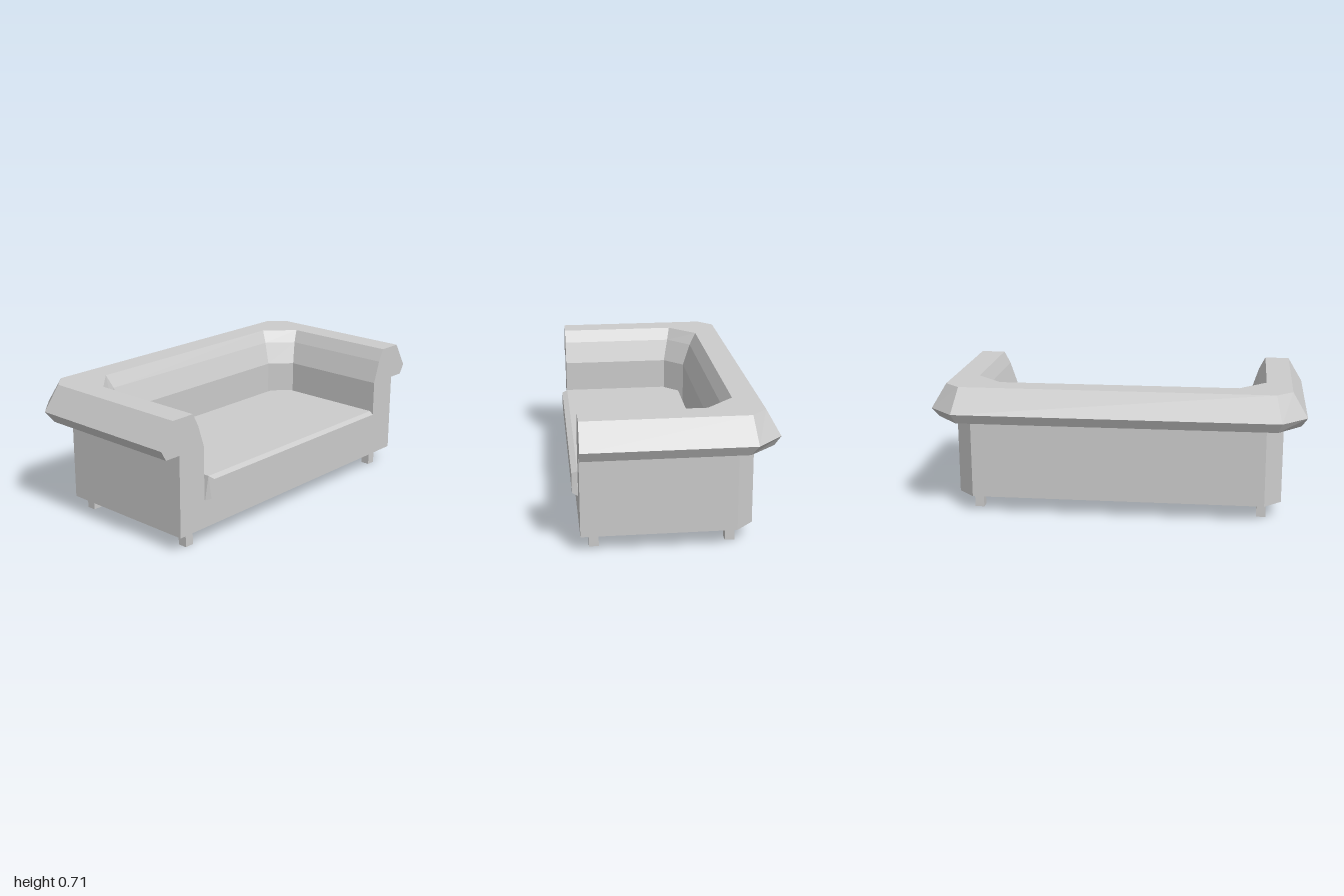
import * as THREE from 'three';
import { ConvexGeometry } from 'three/addons/geometries/ConvexGeometry.js';

const material = new THREE.MeshStandardMaterial({ color: 0xcccccc, flatShading: true });
const FRONT_Z = 0.485;

// Section through the arm and back, from the outer foot over the roll to the seat:
// [arm x, y, z where the corner starts, x where the corner ends, back z]
const SECTION = [
  [0.88, 0.09, -0.305, 0.79, -0.395],
  [0.88, 0.525, -0.305, 0.79, -0.395],
  [0.97, 0.525, -0.345, 0.845, -0.485],
  [1.0, 0.578, -0.38, 0.865, -0.515],
  [0.92, 0.712, -0.36, 0.835, -0.44],
  [0.785, 0.712, -0.16, 0.64, -0.305],
  [0.75, 0.645, -0.145, 0.62, -0.268],
  [0.71, 0.525, -0.12, 0.6, -0.225],
  [0.71, 0.24, -0.12, 0.6, -0.225],
];

// One run around the U, from the front of one arm to the front of the other
function runAround([x, y, cornerZ, cornerX, backZ]) {
  const half = [[x, y, FRONT_Z], [x, y, cornerZ], [cornerX, y, backZ]];
  const mirrored = half.map(([px, py, pz]) => [-px, py, pz]).reverse();
  return [...half, ...mirrored];
}

function facetedGeometry(triangles) {
  const geometry = new THREE.BufferGeometry();
  geometry.setAttribute('position', new THREE.Float32BufferAttribute(triangles.flat(2), 3));
  geometry.computeVertexNormals();
  return geometry;
}

function fan(points) {
  const triangles = [];
  for (let i = 1; i < points.length - 1; i++) triangles.push([points[0], points[i], points[i + 1]]);
  return triangles;
}

function add(group, name, geometry) {
  const mesh = new THREE.Mesh(geometry, material);
  mesh.name = name;
  group.add(mesh);
  return mesh;
}

export function createModel() {
  const sofa = new THREE.Group();
  sofa.name = 'sofa';

  // Arms and back: the section swept around the U with chamfered corners
  const runs = SECTION.map(runAround);
  const shell = [];
  for (let k = 0; k < runs.length - 1; k++) {
    for (let i = 0; i < runs[k].length - 1; i++) {
      const a = runs[k][i], b = runs[k][i + 1], c = runs[k + 1][i + 1], d = runs[k + 1][i];
      shell.push([a, b, c], [a, c, d]);
    }
  }
  add(sofa, 'armsAndBack', facetedGeometry(shell));

  // Underside and the deck beneath the cushion
  add(sofa, 'underside', facetedGeometry(fan([...runs[0]].reverse())));
  add(sofa, 'seatDeck', facetedGeometry(fan(runs[runs.length - 1])));

  // Flat front, outlined by the section on both sides
  const right = SECTION.map(([x, y]) => new THREE.Vector2(x, y));
  const left = right.map((p) => new THREE.Vector2(-p.x, p.y)).reverse();
  const front = add(sofa, 'frontPanel', new THREE.ShapeGeometry(new THREE.Shape([...right, ...left])));
  front.position.z = FRONT_Z;

  // Seat cushion: tapered slab with a bevelled front edge
  const cushionCorners = [
    ...runAround([0.705, 0.238, -0.12, 0.6, -0.222]),
    ...runAround([0.68, 0.362, -0.108, 0.593, -0.195]),
  ];
  for (const s of [-1, 1]) cushionCorners.push([s * 0.69, 0.25, 0.515], [s * 0.667, 0.35, 0.515]);
  add(sofa, 'seatCushion', new ConvexGeometry(cushionCorners.map((p) => new THREE.Vector3(...p))));

  // Four square legs
  for (const [side, x] of [['left', 0.775], ['right', -0.775]]) {
    for (const [end, z] of [['Front', 0.415], ['Back', -0.28]]) {
      const leg = add(sofa, `${side}${end}Leg`, new THREE.BoxGeometry(0.05, 0.09, 0.05));
      leg.position.set(x, 0.045, z);
    }
  }
  return sofa;
}
